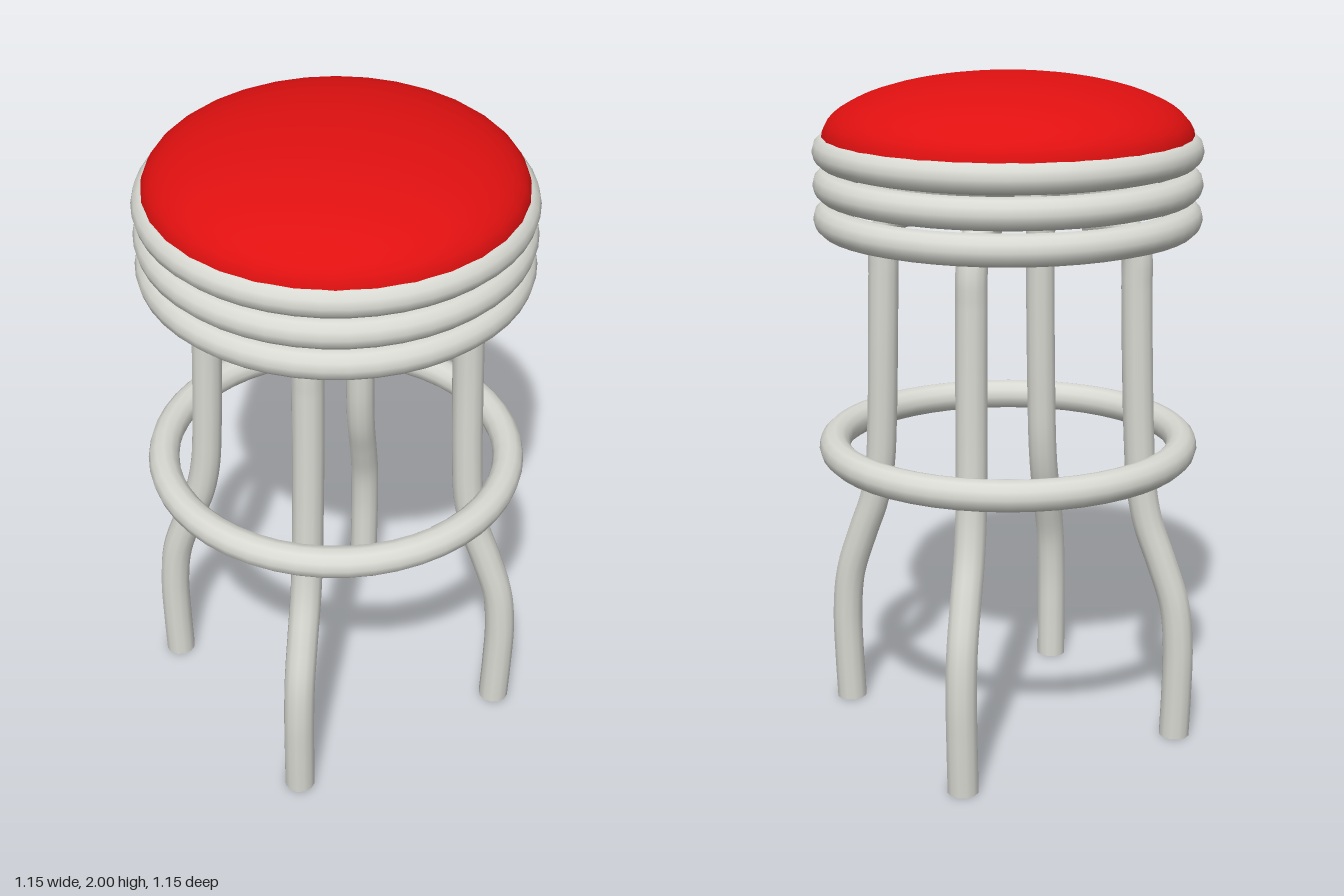
import * as THREE from 'three';

const chrome = new THREE.MeshStandardMaterial({ color: 0xd8d9d2 });
chrome.name = 'silver metal';
const red = new THREE.MeshStandardMaterial({ color: 0xe01010 });
red.name = 'red upholstery';

const TUBE = 0.046;

function addMesh(parent, name, geometry, material) {
  const mesh = new THREE.Mesh(geometry, material);
  mesh.name = name;
  parent.add(mesh);
  return mesh;
}

// horizontal metal hoop
function addRing(parent, name, y) {
  const ring = addMesh(parent, name, new THREE.TorusGeometry(0.518, TUBE, 12, 48), chrome);
  ring.rotation.x = Math.PI / 2;
  ring.position.y = y;
}

// flat disc closing one end of a tube
function addCap(parent, name, point, direction) {
  const cap = addMesh(parent, name, new THREE.CircleGeometry(TUBE, 12), chrome);
  cap.position.copy(point);
  cap.quaternion.setFromUnitVectors(new THREE.Vector3(0, 0, 1), direction);
}

// bent leg along +x; the foot is shifted sideways by skew
function makeLeg(name, skew) {
  const leg = new THREE.Group();
  leg.name = name;
  const profile = [
    [0.524, 0.004], [0.529, 0.15], [0.53, 0.3], [0.516, 0.43], [0.475, 0.56],
    [0.432, 0.68], [0.41, 0.79], [0.399, 0.95], [0.39, 1.2], [0.385, 1.4],
    [0.382, 1.5], [0.358, 1.564], [0.3, 1.59], [0.23, 1.59],
  ];
  const points = profile.map(([r, y]) =>
    new THREE.Vector3(r, y, skew * Math.max(0, 1 - y / 1.2)));
  const curve = new THREE.CatmullRomCurve3(points);
  addMesh(leg, 'legTube', new THREE.TubeGeometry(curve, 56, TUBE, 12), chrome);
  addCap(leg, 'footCap', curve.getPoint(0), curve.getTangent(0).negate());
  addCap(leg, 'topCap', curve.getPoint(1), curve.getTangent(1));
  return leg;
}

export function createModel() {
  const stool = new THREE.Group();
  stool.name = 'barStool';

  // domed cushion
  const dome = [];
  for (let i = 0; i <= 14; i++) {
    const a = (i / 14) * Math.PI / 2;
    dome.push(new THREE.Vector2(i === 14 ? 0 : 0.536 * Math.cos(a), 1.825 + 0.175 * Math.sin(a)));
  }
  addMesh(stool, 'cushion', new THREE.LatheGeometry(dome, 32), red);
  const base = addMesh(stool, 'cushionBase', new THREE.CircleGeometry(0.536, 32), red);
  base.rotation.x = Math.PI / 2;
  base.position.y = 1.825;

  // stacked seat rings and the footrest
  [1.786, 1.69, 1.592].forEach((y, i) => addRing(stool, `seatRing${i + 1}`, y));
  addRing(stool, 'footRing', 0.905);

  // four legs
  const legs = [
    ['leftLeg', 0, 0.025], ['backLeg', 1, -0.008],
    ['rightLeg', 2, -0.01], ['frontLeg', 3, 0.008],
  ];
  for (const [name, quarter, skew] of legs) {
    const leg = makeLeg(name, quarter % 2 ? -Math.abs(skew) * (quarter === 1 ? -1 : 1) * -1 : skew);
    leg.rotation.y = quarter * Math.PI / 2;
    stool.add(leg);
  }
  return stool;
}
